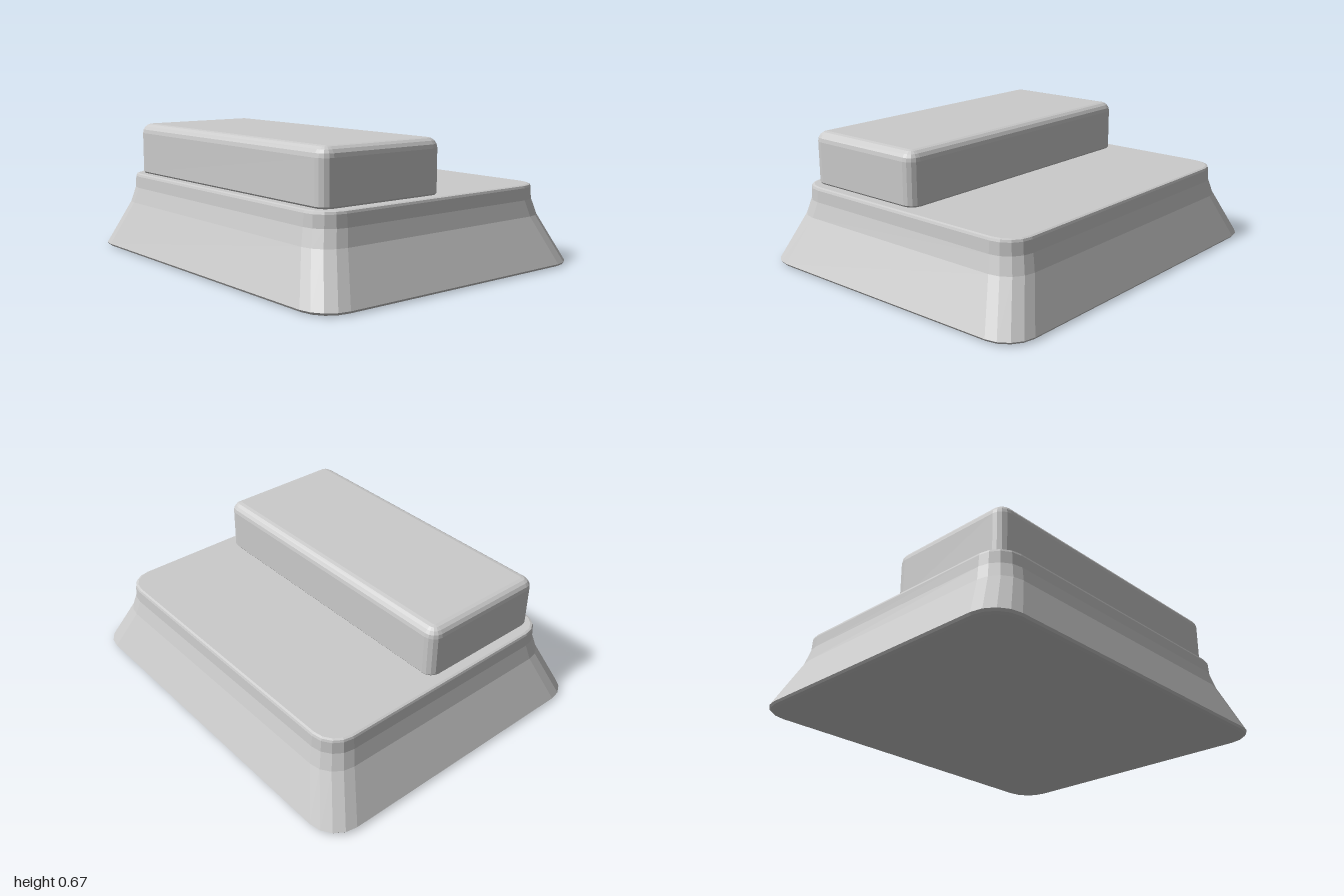
import * as THREE from 'three';

// Outline of a rounded rectangle, as [x, z] points
function roundedRing(hx, hz, r, segments) {
  const points = [];
  const corners = [[1, 1], [-1, 1], [-1, -1], [1, -1]];
  corners.forEach(([sx, sz], quarter) => {
    for (let i = 0; i <= segments; i++) {
      const a = (quarter + i / segments) * Math.PI / 2;
      points.push([sx * (hx - r) + r * Math.cos(a), sz * (hz - r) + r * Math.sin(a)]);
    }
  });
  return points;
}

// Closed solid through sections [y, halfX, halfZ, cornerRadius], bottom to top
function loft(sections, segments) {
  const positions = [], index = [];
  const n = 4 * (segments + 1);
  for (const [y, hx, hz, r] of sections) {
    for (const [x, z] of roundedRing(hx, hz, r, segments)) positions.push(x, y, z);
  }
  for (let s = 0; s < sections.length - 1; s++) {
    for (let i = 0; i < n; i++) {
      const a = s * n + i, b = s * n + (i + 1) % n;
      index.push(a, a + n, b, b, a + n, b + n);
    }
  }
  // Flat bottom and top
  const last = (sections.length - 1) * n;
  for (let i = 1; i < n - 1; i++) {
    index.push(0, i, i + 1);
    index.push(last, last + i + 1, last + i);
  }
  const geometry = new THREE.BufferGeometry();
  geometry.setAttribute('position', new THREE.Float32BufferAttribute(positions, 3));
  geometry.setIndex(index);
  geometry.computeVertexNormals();
  return geometry;
}

export function createModel() {
  const group = new THREE.Group();
  const material = new THREE.MeshStandardMaterial({ color: 0xcccccc, flatShading: true });

  // Flared plinth with a thin bevel at the foot and a softened upper rim
  const base = new THREE.Mesh(loft([
    [0, 0.975, 0.8, 0.13],
    [0.006, 0.992, 0.817, 0.145],
    [0.017, 1, 0.825, 0.15],
    [0.25, 0.882, 0.732, 0.14],
    [0.33, 0.86, 0.71, 0.135],
    [0.39, 0.856, 0.706, 0.13],
    [0.401, 0.852, 0.702, 0.126],
    [0.405, 0.842, 0.692, 0.118],
  ], 4), material);
  base.name = 'flaredBase';
  group.add(base);

  // Raised block near the front, with a quarter-round top edge
  const hx = 0.8, hz = 0.354, top = 0.672, fillet = 0.05, steps = 4;
  const sections = [
    [0.403, hx - 0.008, hz - 0.008, 0.052],
    [0.413, hx, hz, 0.06],
  ];
  for (let i = 0; i <= steps; i++) {
    const a = i / steps * Math.PI / 2;
    const inset = fillet * (1 - Math.cos(a));
    sections.push([top - fillet + fillet * Math.sin(a), hx - inset, hz - inset, 0.06 - inset]);
  }
  const block = new THREE.Mesh(loft(sections, 4), material);
  block.name = 'raisedBlock';
  block.position.z = 0.305;
  group.add(block);

  return group;
}
